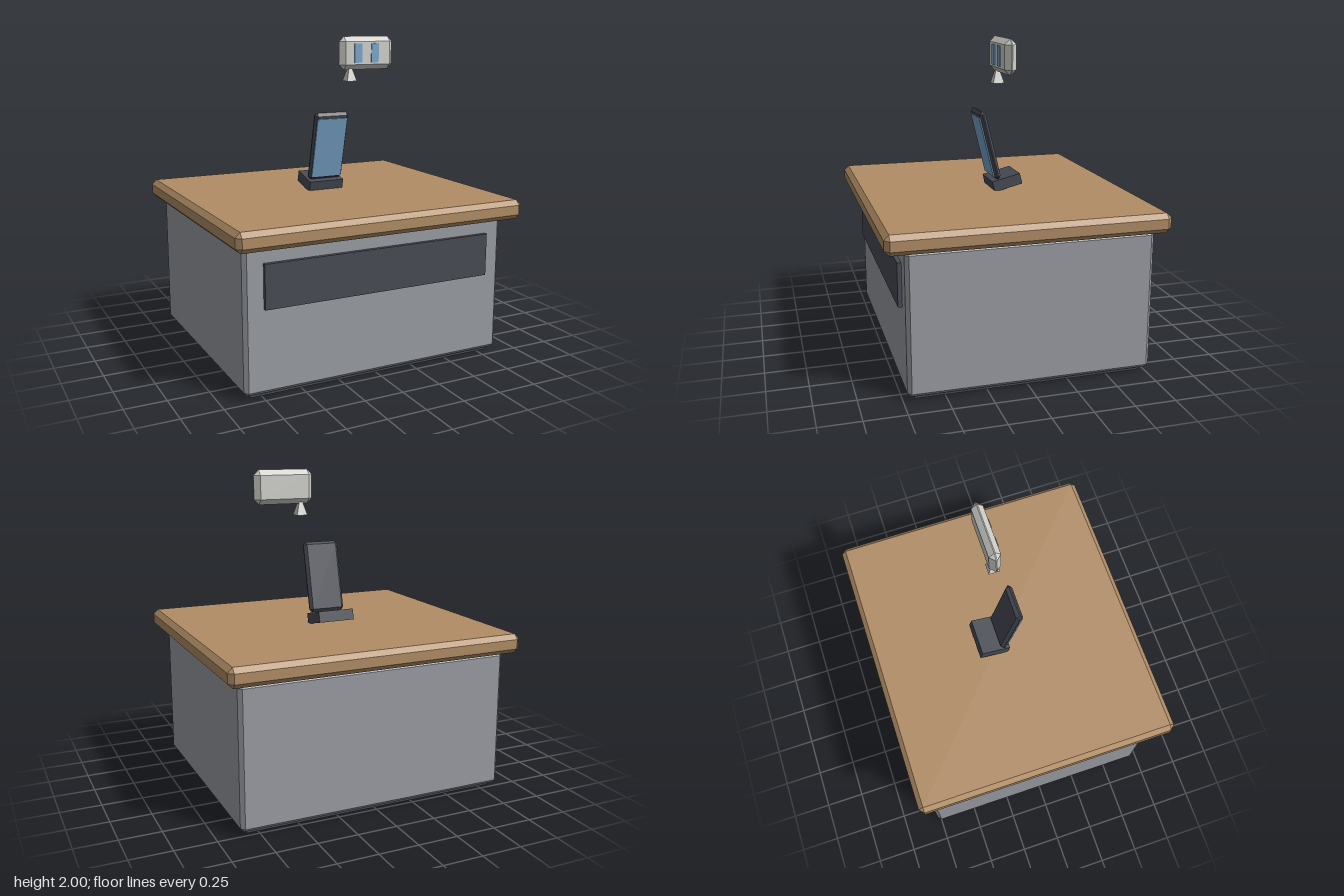
import * as THREE from 'three';
import { ConvexGeometry } from 'three/addons/geometries/ConvexGeometry.js';

const material = (name, color) => {
  const m = new THREE.MeshStandardMaterial({ color });
  m.name = name;
  return m;
};

// Box with every edge cut by a 45 degree chamfer c
function chamferBox(w, h, d, c) {
  const half = [w / 2, h / 2, d / 2];
  const points = [];
  for (const sx of [-1, 1]) for (const sy of [-1, 1]) for (const sz of [-1, 1]) {
    const s = [sx, sy, sz];
    for (let face = 0; face < 3; face++) {
      points.push(new THREE.Vector3(...half.map((v, i) => s[i] * (i === face ? v : v - c))));
    }
  }
  return new ConvexGeometry(points);
}

export function createModel() {
  const group = new THREE.Group();
  const wood = material('wood', 0xb08d65);
  const grey = material('cabinet grey', 0x999ca3);
  const dark = material('dark grey', 0x484b54);
  const blue = material('screen blue', 0x78a5cc);
  const pale = material('pale grey', 0xd0d1cb);

  const add = (name, geometry, mat, x, y, z, parent = group) => {
    const mesh = new THREE.Mesh(geometry, mat);
    mesh.name = name;
    mesh.position.set(x, y, z);
    parent.add(mesh);
    return mesh;
  };
  const box = (w, h, d) => new THREE.BoxGeometry(w, h, d);

  // Counter
  add('plinth', box(1.64, 0.06, 1.4), dark, 0, 0.03, -0.02);
  add('cabinet', chamferBox(1.73, 0.87, 1.495, 0.023), grey, 0, 0.46, -0.0225);
  add('frontPanel', box(1.49, 0.265, 0.05), dark, 0, 0.667, 0.725);
  add('counterTop', chamferBox(1.88, 0.12, 1.69, 0.03), wood, 0, 0.955, 0);

  // Tilted terminal: stand and screen lean forward together
  const tilt = 0.24;
  add('terminalStand', box(0.238, 0.07, 0.19), dark, 0, 1.0625, -0.085).rotation.x = tilt;
  const terminal = new THREE.Group();
  terminal.name = 'terminal';
  terminal.position.set(0, 1.307, 0.027);
  terminal.rotation.x = tilt;
  group.add(terminal);
  add('terminalBody', chamferBox(0.238, 0.455, 0.044, 0.018), dark, 0, 0, 0, terminal);
  add('terminalScreen', box(0.21, 0.396, 0.008), blue, 0, -0.006, 0.023, terminal);

  // Floating speech bubble
  const bubble = new THREE.Group();
  bubble.name = 'speechBubble';
  bubble.position.set(0.286, 1.8935, 0);
  group.add(bubble);
  add('bubbleBody', chamferBox(0.386, 0.213, 0.072, 0.033), pale, 0, 0, 0, bubble);
  for (const x of [-0.072, 0.05]) {
    add('bubbleBar', box(0.053, 0.122, 0.009), blue, x, 0, 0.0375, bubble);
  }
  const tail = new THREE.ConeGeometry(0.035 * Math.SQRT2, 0.122, 4).rotateY(Math.PI / 4).toNonIndexed();
  tail.computeVertexNormals();
  add('bubbleTail', tail, pale, -0.115, -0.1175, 0, bubble);

  return group;
}
